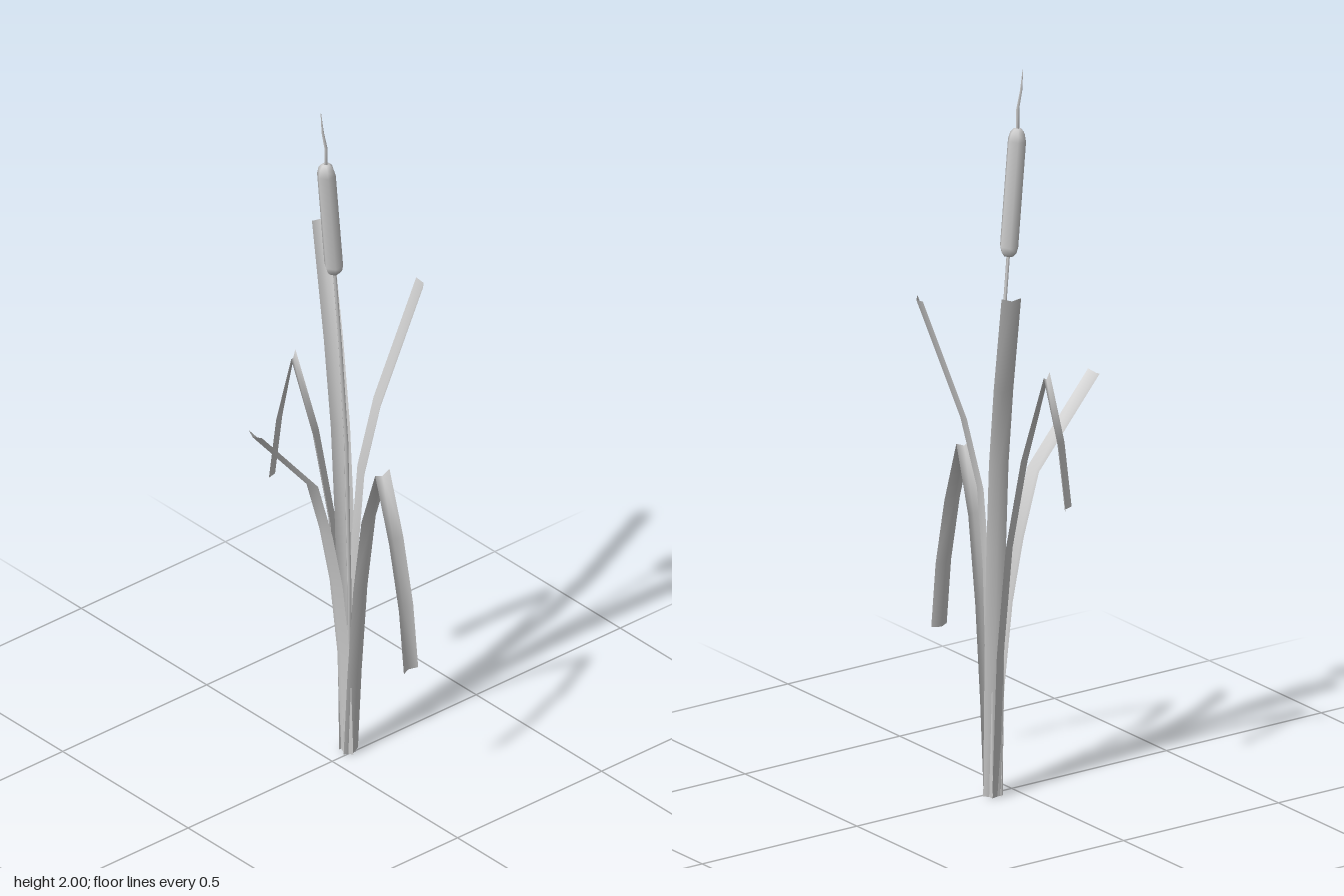
import * as THREE from 'three';

const grey = new THREE.MeshStandardMaterial({ color: 0xcccccc });
const greySheet = new THREE.MeshStandardMaterial({ color: 0xcccccc, side: THREE.DoubleSide });
const UP = new THREE.Vector3(0, 1, 0);
const HALF_WIDTH = 0.026;
const FOLD = 0.011;

// Strip with a shallow V fold along a path of [x, y, z]; heading is its horizontal direction
function leaf(name, [hx, hz], path) {
  const pts = path.map((p) => new THREE.Vector3(...p));
  const side = UP.clone().cross(new THREE.Vector3(hx, 0, hz).normalize());
  const pos = [];
  const index = [];
  pts.forEach((p, i) => {
    const before = pts[Math.max(i - 1, 0)];
    const after = pts[Math.min(i + 1, pts.length - 1)];
    const tangent = new THREE.Vector3();
    if (i > 0) tangent.add(p.clone().sub(before).normalize());
    if (i < pts.length - 1) tangent.add(after.clone().sub(p).normalize());
    const under = side.clone().cross(tangent).normalize();
    pos.push(...p.clone().addScaledVector(side, -HALF_WIDTH).toArray());
    pos.push(...p.clone().addScaledVector(under, FOLD).toArray());
    pos.push(...p.clone().addScaledVector(side, HALF_WIDTH).toArray());
    if (i === 0) return;
    for (let k = 0; k < 2; k++) {
      const a = (i - 1) * 3 + k;
      index.push(a, a + 1, a + 4, a, a + 4, a + 3);
    }
  });
  const geo = new THREE.BufferGeometry();
  geo.setAttribute('position', new THREE.Float32BufferAttribute(pos, 3));
  geo.setIndex(index);
  geo.computeVertexNormals();
  const mesh = new THREE.Mesh(geo, greySheet);
  mesh.name = name;
  return mesh;
}

// Tapering rod through rings given as [x, y, z, radius]
function rod(name, rings, sides) {
  const pos = [];
  const index = [];
  rings.forEach(([x, y, z, r], i) => {
    for (let k = 0; k < sides; k++) {
      const a = (k / sides) * Math.PI * 2;
      pos.push(x + r * Math.sin(a), y, z + r * Math.cos(a));
      if (i === 0) continue;
      const n = (k + 1) % sides;
      const lo = (i - 1) * sides;
      const hi = i * sides;
      index.push(lo + k, lo + n, hi + n, lo + k, hi + n, hi + k);
    }
  });
  const geo = new THREE.BufferGeometry();
  geo.setAttribute('position', new THREE.Float32BufferAttribute(pos, 3));
  geo.setIndex(index);
  geo.computeVertexNormals();
  const mesh = new THREE.Mesh(geo, grey);
  mesh.name = name;
  return mesh;
}

export function createModel() {
  const model = new THREE.Group();
  model.name = 'reedPlant';

  // Stem, curving slightly forward
  model.add(rod('stem', [
    [-0.015, 0, -0.073, 0.006],
    [-0.016, 0.5, -0.073, 0.006],
    [-0.017, 0.95, -0.063, 0.006],
    [-0.018, 1.25, -0.044, 0.005],
    [-0.018, 1.5, -0.023, 0.005],
  ], 5));

  // Six-sided seed head with rounded ends, leaning with the stem
  const profile = [[0, 0], [0.014, 0.004], [0.022, 0.014], [0.026, 0.03],
    [0.026, 0.32], [0.021, 0.34], [0.012, 0.351], [0, 0.355]]
    .map(([r, y]) => new THREE.Vector2(r, y));
  const head = new THREE.Mesh(new THREE.LatheGeometry(profile, 6), grey);
  head.name = 'seedHead';
  head.position.set(-0.018, 1.487, -0.024);
  head.rotation.x = 0.088;
  model.add(head);

  // Thin crooked spike above the head
  model.add(rod('spike', [
    [-0.018, 1.83, 0.006, 0.006],
    [-0.013, 1.89, 0.01, 0.005],
    [-0.018, 1.94, 0.017, 0.004],
    [-0.021, 2.0, 0.021, 0.001],
  ], 4));

  // Upright leaves
  model.add(leaf('frontLeaf', [0, 1], [
    [-0.013, 0, -0.062], [-0.013, 0.3, -0.052], [-0.013, 0.534, -0.025],
    [-0.013, 0.704, 0.01], [-0.013, 0.878, 0.06], [-0.013, 1.11, 0.256],
  ]));
  model.add(leaf('backLeaf', [0.35, -0.94], [
    [-0.012, 0, -0.078], [-0.01, 0.35, -0.079], [-0.006, 0.64, -0.085],
    [0.002, 0.86, -0.098], [0.017, 1.06, -0.141], [0.055, 1.4, -0.256],
  ]));
  model.add(leaf('backRightLeaf', [-0.9, -0.44], [
    [-0.02, 0, -0.075], [-0.032, 0.4, -0.079], [-0.055, 0.7, -0.09],
    [-0.09, 0.95, -0.107], [-0.15, 1.18, -0.135], [-0.257, 1.475, -0.187],
  ]));

  // Bent leaves with hanging ends
  model.add(leaf('rightBentLeaf', [-0.8, 0.6], [
    [-0.02, 0, -0.068], [-0.038, 0.4, -0.066], [-0.062, 0.7, -0.055],
    [-0.098, 0.95, -0.032], [-0.148, 1.19, 0.006], [-0.178, 1.0, 0.032],
    [-0.191, 0.82, 0.046],
  ]));
  model.add(leaf('leftBentLeaf', [1, -0.05], [
    [-0.006, 0, -0.07], [0.009, 0.25, -0.07], [0.034, 0.52, -0.068],
    [0.074, 0.757, -0.062], [0.138, 0.935, -0.054], [0.2, 0.757, -0.048],
    [0.243, 0.57, -0.045], [0.264, 0.386, -0.044],
  ]));

  return model;
}
